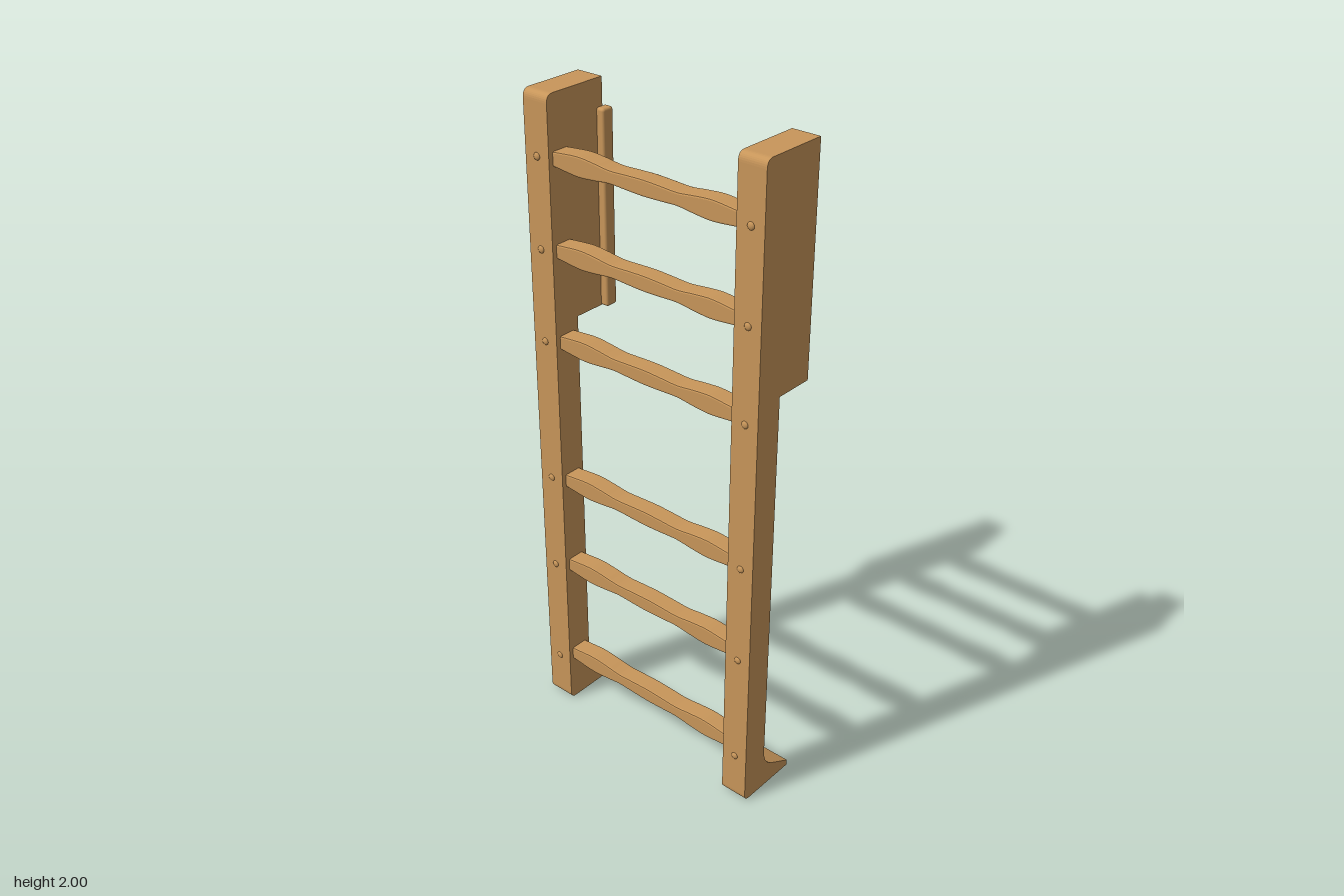
import * as THREE from 'three';
import { RoundedBoxGeometry } from 'three/addons/geometries/RoundedBoxGeometry.js';

export function createModel() {
  const model = new THREE.Group();
  model.name = 'ladder';
  const wood = new THREE.MeshStandardMaterial({ color: 0xc8965a });
  wood.name = 'honey wood';

  const add = (geometry, name, x, y, z) => {
    const mesh = new THREE.Mesh(geometry, wood);
    mesh.name = name;
    mesh.position.set(x, y, z);
    model.add(mesh);
    return mesh;
  };

  // Side post outline, drawn with shape x = -z: rounded front, deep top block, flared foot
  const side = new THREE.Shape();
  side.moveTo(-0.085, 0);
  side.lineTo(0.1, 0);
  side.lineTo(0.1, 0.018);
  side.lineTo(0.015, 0.066);
  side.quadraticCurveTo(-0.02, 0.09, -0.02, 0.135);
  side.lineTo(-0.02, 1.34);
  side.lineTo(0.1, 1.34);
  side.lineTo(0.1, 2);
  side.lineTo(-0.085, 2);
  side.quadraticCurveTo(-0.108, 2, -0.108, 1.975);
  side.lineTo(-0.108, 0.022);
  side.quadraticCurveTo(-0.108, 0, -0.085, 0);
  const postGeo = new THREE.ExtrudeGeometry(side, { depth: 0.086, bevelEnabled: false, curveSegments: 8 });
  postGeo.rotateY(Math.PI / 2);

  // Wavy rung: turned outline in the front plane, constant depth
  const top = [[-0.32, 0.02], [-0.285, 0.024], [-0.225, 0.029], [-0.17, 0.025], [-0.115, 0.019],
    [-0.06, 0.021], [0, 0.023], [0.06, 0.021], [0.115, 0.019], [0.17, 0.025], [0.225, 0.029],
    [0.285, 0.024], [0.32, 0.02]].map(([x, y]) => new THREE.Vector2(x, y));
  const curve = new THREE.SplineCurve(top).getPoints(48);
  const outline = [...curve.map((p) => new THREE.Vector2(p.x, -p.y)), ...curve.slice().reverse()];
  const rungGeo = new THREE.ExtrudeGeometry(new THREE.Shape(outline), {
    depth: 0.047, bevelThickness: 0.005, bevelSize: 0.005, bevelOffset: -0.005, bevelSegments: 2,
  });

  const pegGeo = new THREE.SphereGeometry(0.011, 12, 8);
  pegGeo.scale(1, 1, 0.5);
  const stripGeo = new RoundedBoxGeometry(0.03, 0.58, 0.04, 3, 0.008);

  const rungHeights = [0.175, 0.52, 0.825, 1.283, 1.56, 1.823];
  const pegHeights = [0.155, 0.512, 0.827, 1.28, 1.56, 1.825];
  rungHeights.forEach((y) => add(rungGeo, 'rung', 0, y, 0.041));

  for (const s of [-1, 1]) {
    const sideName = s > 0 ? 'left' : 'right';
    add(postGeo, sideName + 'Post', s > 0 ? 0.314 : -0.4, 0, 0);
    // Upright strip at the inner back edge of the top block
    add(stripGeo, sideName + 'BackStrip', s > 0 ? 0.297 : -0.304, 1.63, -0.097);
    pegHeights.forEach((y) => add(pegGeo, sideName + 'Peg', s * 0.358, y, 0.108));
  }
  return model;
}
